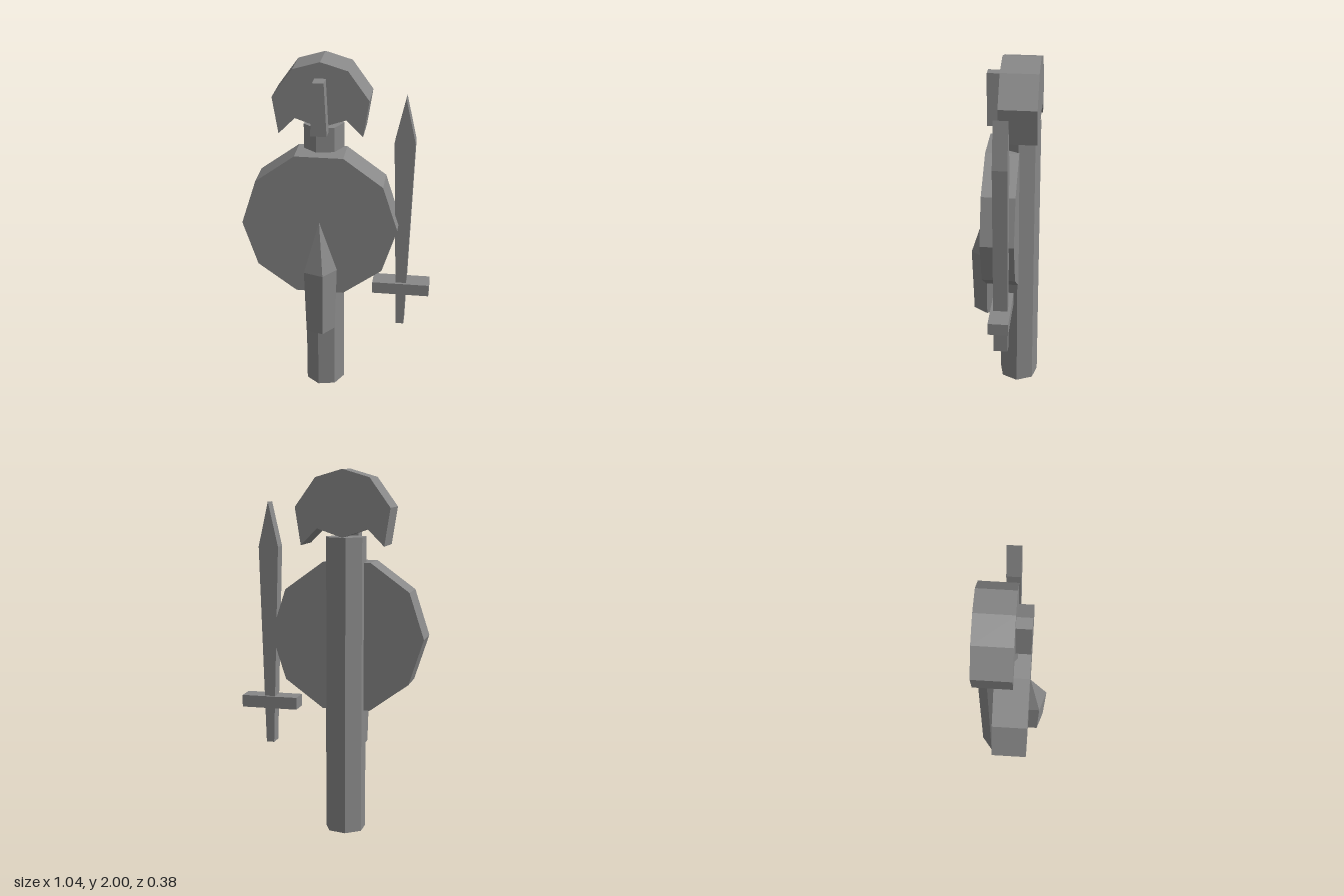
import * as THREE from 'three';

const grey = new THREE.MeshStandardMaterial({ color: 0x888888, flatShading: true });
grey.name = 'grey';

export function createModel() {
  const group = new THREE.Group();
  const cx = -0.092; // body axis

  const add = (name, geometry, x = 0, y = 0, z = 0) => {
    const mesh = new THREE.Mesh(geometry, grey);
    mesh.name = name;
    mesh.position.set(x, y, z);
    group.add(mesh);
  };

  // Flat outline in x, y given depth from z0 to z1
  const addSlab = (name, points, x, z0, z1) => {
    const shape = new THREE.Shape(points.map(([px, py]) => new THREE.Vector2(px, py)));
    add(name, new THREE.ExtrudeGeometry(shape, { depth: z1 - z0, bevelEnabled: false }), x, 0, z0);
  };

  // Completes an outline whose right half runs along the given points
  const mirrored = (half) => [
    ...half,
    ...half.filter(([x]) => x > 0).reverse().map(([x, y]) => [-x, y]),
  ];

  // Seven-sided post
  add('post', new THREE.CylinderGeometry(0.113, 0.113, 1.64, 7, 1, false,
    THREE.MathUtils.degToRad(37.7)), -0.088, 0.82, -0.08);

  // Ten-sided body
  const body = [];
  for (let i = 0; i < 10; i++) {
    const a = (i * Math.PI) / 5;
    body.push([0.43 * Math.cos(a), 1.092 + 0.43 * Math.sin(a)]);
  }
  addSlab('body', body, cx, -0.085, 0.098);

  // Crescent helmet with a notched lower edge
  addSlab('helmet', mirrored([
    [0, 1.64], [0.138, 1.688], [0.228, 1.597], [0.26, 1.8], [0.147, 1.957], [0, 2],
  ]), cx, -0.187, 0.018);

  // Tapered nose guard
  addSlab('noseGuard', mirrored([[0.044, 1.62], [0.03, 1.912]]), cx, 0.016, 0.098);

  // Five-sided pointed spike on the front
  const turn = THREE.MathUtils.degToRad(18);
  add('spikeShaft', new THREE.CylinderGeometry(0.098, 0.086, 0.38, 5, 1, false, turn),
    cx, 0.64, 0.1);
  add('spikePoint', new THREE.CylinderGeometry(0, 0.098, 0.29, 5, 1, true, turn),
    cx, 0.975, 0.1);

  // Sword
  addSlab('swordBlade', mirrored([
    [0.022, 0.46], [0.056, 1.575], [0, 1.822],
  ]), 0.361, -0.057, 0.021);
  add('swordGuard', new THREE.BoxGeometry(0.32, 0.068, 0.11), 0.36, 0.695, -0.018);

  return group;
}
